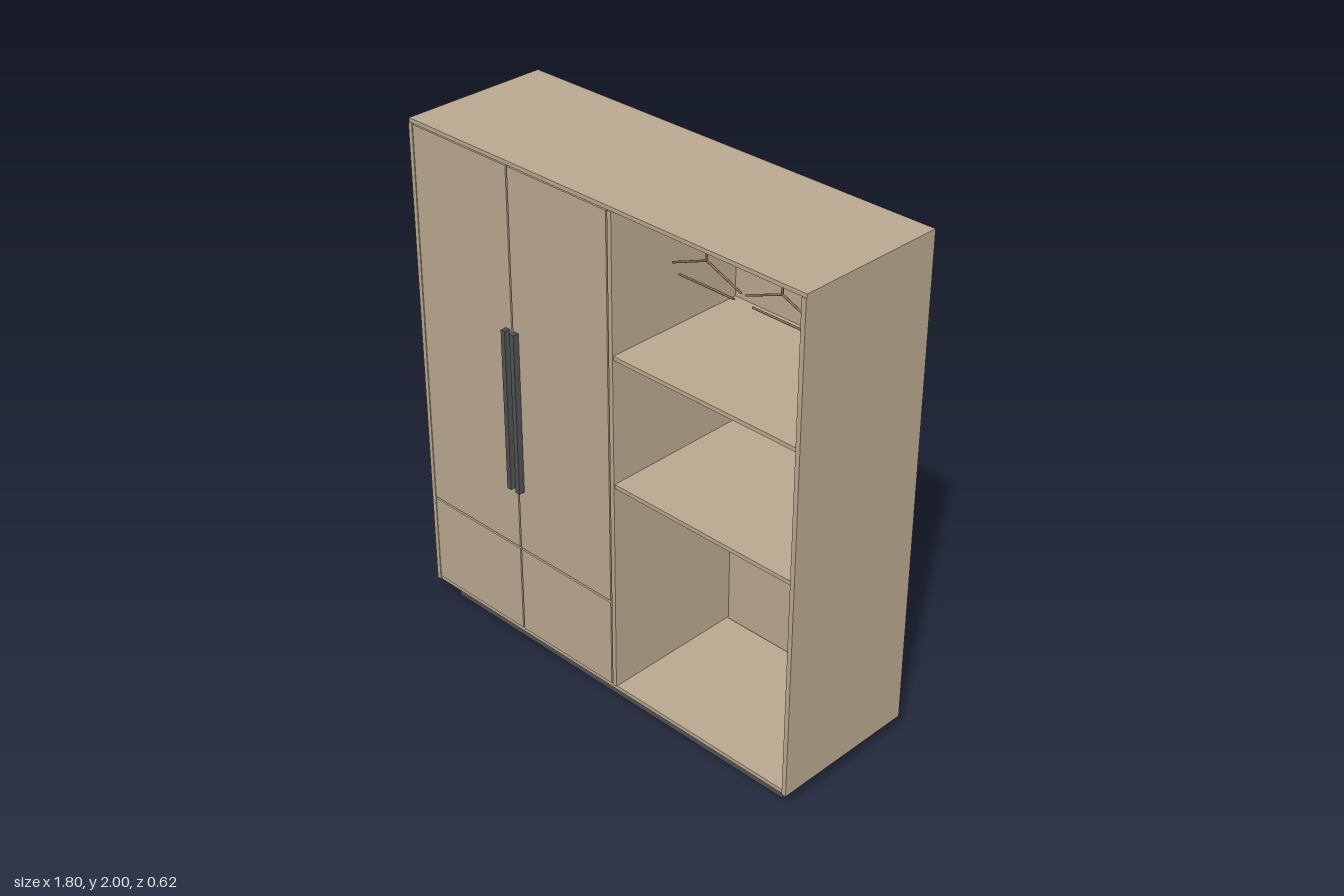
import * as THREE from 'three';

const wood = new THREE.MeshStandardMaterial({ color: 0xbaa88f });
const dark = new THREE.MeshStandardMaterial({ color: 0x505254 });
const hangerWood = new THREE.MeshStandardMaterial({ color: 0x8a6f58 });

const BACK = -0.312, FRONT = 0.288;

export function createModel() {
  const root = new THREE.Group();
  root.name = 'wardrobe';

  // Box given by its limits on each axis
  const box = (name, [x0, x1], [y0, y1], [z0, z1], material = wood, parent = root) => {
    const mesh = new THREE.Mesh(new THREE.BoxGeometry(x1 - x0, y1 - y0, z1 - z0), material);
    mesh.position.set((x0 + x1) / 2, (y0 + y1) / 2, (z0 + z1) / 2);
    mesh.name = name;
    parent.add(mesh);
    return mesh;
  };
  // Round bar between two points
  const bar = (name, a, b, radius, material, parent, sides = 8) => {
    const from = new THREE.Vector3(...a), to = new THREE.Vector3(...b);
    const dir = to.clone().sub(from);
    const mesh = new THREE.Mesh(new THREE.CylinderGeometry(radius, radius, dir.length(), sides), material);
    mesh.position.copy(from).add(to).multiplyScalar(0.5);
    mesh.quaternion.setFromUnitVectors(new THREE.Vector3(0, 1, 0), dir.normalize());
    mesh.name = name;
    parent.add(mesh);
  };

  // Carcass
  box('plinth', [-0.84, 0.84], [0, 0.082], [-0.17, 0.23], dark);
  box('topPanel', [-0.9, 0.9], [1.985, 2], [BACK, FRONT - 0.004]);
  box('leftSide', [0.882, 0.9], [0.082, 1.985], [BACK, FRONT]);
  box('rightSide', [-0.9, -0.882], [0.082, 1.985], [BACK, FRONT]);
  box('bottomPanel', [-0.882, 0.882], [0.082, 0.098], [-0.294, FRONT - 0.004]);
  box('backPanel', [-0.882, 0.882], [0.082, 1.985], [BACK + 0.002, -0.3]);
  box('partition', [0.068, 0.086], [0.098, 1.985], [-0.3, FRONT]);

  // Open shelves
  for (const y of [0.955, 1.455]) {
    box('shelf', [0.086, 0.882], [y - 0.008, y + 0.008], [-0.3, FRONT - 0.004]);
  }

  // Doors above drawer fronts, with narrow gaps between
  for (const x of [[-0.878, -0.409], [-0.402, 0.062]]) {
    box('door', x, [0.466, 1.983], [FRONT - 0.018, FRONT]);
    box('drawerFront', x, [0.1, 0.458], [FRONT - 0.018, FRONT]);
  }
  for (const x of [-0.428, -0.384]) {
    box('handle', [x - 0.01, x + 0.01], [0.72, 1.367], [FRONT, 0.312], dark);
  }

  // Clothes rails
  const railY = 1.905, railZ = 0.1;
  bar('rail', [0.09, railY, railZ], [0.88, railY, railZ], 0.012, dark, root, 16);
  bar('hiddenRail', [-0.88, railY, railZ], [0.066, railY, railZ], 0.012, dark, root, 16);

  // Hangers: stem, two sloping arms and a lower bar
  for (const x of [0.325, 0.645]) {
    const hanger = new THREE.Group();
    hanger.name = 'hanger';
    hanger.position.set(x, 0, railZ);
    bar('stem', [0, 1.895, 0], [0, 1.83, 0], 0.004, hangerWood, hanger);
    for (const s of [-1, 1]) {
      bar('arm', [0, 1.832, 0], [s * 0.15, 1.772, 0], 0.004, hangerWood, hanger);
    }
    bar('trouserBar', [-0.12, 1.74, 0], [0.12, 1.74, 0], 0.004, hangerWood, hanger);
    root.add(hanger);
  }

  return root;
}
